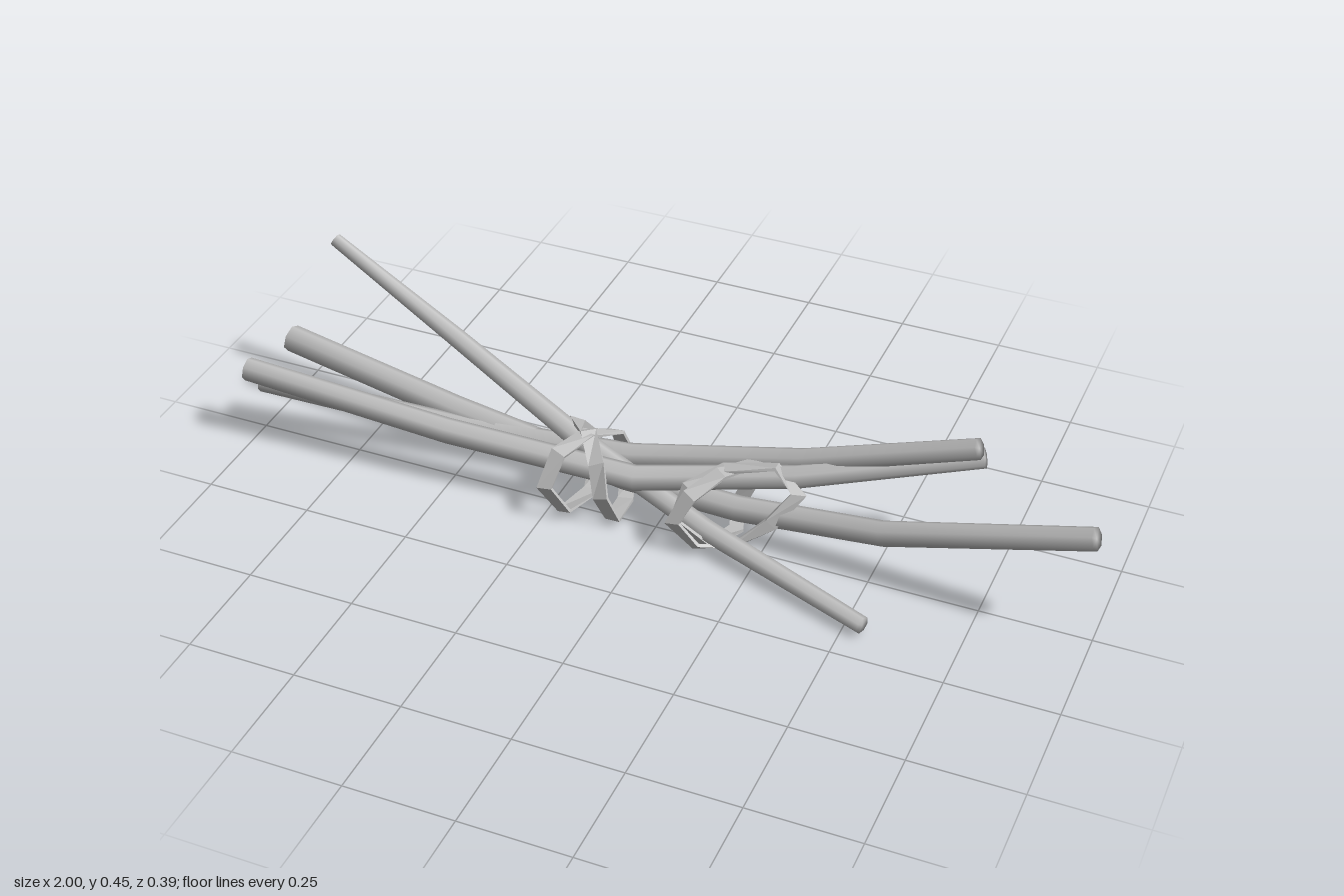
import * as THREE from 'three';

const V = (a) => new THREE.Vector3(...a);

// Skin a list of equal-length rings (counter-clockwise about the path)
function loft(rings, closed) {
  const n = rings[0].length, pos = [], idx = [];
  rings.forEach((r) => r.forEach((p) => pos.push(p.x, p.y, p.z)));
  const spans = closed ? rings.length : rings.length - 1;
  for (let i = 0; i < spans; i++) {
    const a = i * n, b = ((i + 1) % rings.length) * n;
    for (let j = 0; j < n; j++) {
      const k = (j + 1) % n;
      idx.push(a + j, a + k, b + k, a + j, b + k, b + j);
    }
  }
  if (!closed) {
    // end caps share their rim so the cut ends shade softly
    [0, rings.length - 1].forEach((i) => {
      const c = rings[i].reduce((s, p) => s.add(p), new THREE.Vector3()).divideScalar(n);
      const ci = pos.length / 3;
      pos.push(c.x, c.y, c.z);
      for (let j = 0; j < n; j++) {
        const a = i * n + j, b = i * n + (j + 1) % n;
        idx.push(ci, ...(i ? [a, b] : [b, a]));
      }
    });
  }
  const g = new THREE.BufferGeometry();
  g.setAttribute('position', new THREE.Float32BufferAttribute(pos, 3));
  g.setIndex(idx);
  return g;
}

// Tapered seven-sided stick along points [x, y, z, radius]
function stickGeometry(points, sides = 7) {
  const path = points.map((p) => V(p.slice(0, 3)));
  const rings = path.map((p, i) => {
    const t = path[Math.min(i + 1, path.length - 1)].clone().sub(path[Math.max(i - 1, 0)]).normalize();
    const u = new THREE.Vector3(0, 1, 0).addScaledVector(t, -t.y).normalize();
    const v = t.clone().cross(u);
    return Array.from({ length: sides }, (_, j) => {
      const a = (j / sides) * Math.PI * 2, r = points[i][3];
      return p.clone().addScaledVector(u, r * Math.cos(a)).addScaledVector(v, r * Math.sin(a));
    });
  });
  const g = loft(rings, false);
  g.computeVertexNormals();
  return g;
}

// Flat closed ribbon wound round a centre [y, z] of the bundle
function ribbonGeometry(points, [cy, cz], width, thick) {
  const path = points.map(V), n = path.length;
  const rings = path.map((p, i) => {
    const t = path[(i + 1) % n].clone().sub(path[(i + n - 1) % n]).normalize();
    const u = new THREE.Vector3(0, p.y - cy, p.z - cz);
    u.addScaledVector(t, -u.dot(t)).normalize();
    const v = t.clone().cross(u);
    return [[1, -1], [1, 1], [-1, 1], [-1, -1]].map(([a, b]) =>
      p.clone().addScaledVector(u, (a * thick) / 2).addScaledVector(v, (b * width) / 2));
  });
  const g = loft(rings, true).toNonIndexed();
  g.computeVertexNormals();
  return g;
}

export function createModel() {
  const model = new THREE.Group();
  model.name = 'stickBundle';
  const grey = new THREE.MeshStandardMaterial({ color: 0xc0c0c0 });
  grey.name = 'grey';
  const add = (name, geometry) => {
    const mesh = new THREE.Mesh(geometry, grey);
    mesh.name = name;
    model.add(mesh);
  };

  // Four bent sticks, each crossing the bundle
  const sticks = {
    crossingStick: [
      [-0.88, 0.45, -0.188, 0.016], [-0.55, 0.285, -0.145, 0.023], [-0.22, 0.15, -0.07, 0.027],
      [0.13, 0.062, 0.025, 0.025], [0.545, 0.04, 0.172, 0.02]],
    longStick: [
      [-0.995, 0.178, -0.14, 0.033], [-0.55, 0.115, -0.108, 0.033], [-0.1, 0.085, -0.06, 0.032],
      [0.18, 0.09, -0.042, 0.03], [0.52, 0.14, -0.02, 0.029], [0.987, 0.308, 0.034, 0.026]],
    backStick: [
      [-0.997, 0.145, 0, 0.027], [-0.5, 0.098, -0.07, 0.029], [-0.1, 0.115, -0.1, 0.03],
      [0.3, 0.205, -0.12, 0.027], [0.695, 0.363, -0.098, 0.024]],
    frontStick: [
      [-0.996, 0.213, 0.056, 0.028], [-0.5, 0.16, 0.03, 0.03], [-0.05, 0.137, 0, 0.03],
      [0.3, 0.187, -0.08, 0.027], [0.695, 0.298, -0.158, 0.023]],
  };
  for (const [name, points] of Object.entries(sticks)) add(name, stickGeometry(points));

  // Crossed binding: two turns that swap places on top
  add('crossedBinding', ribbonGeometry([
    [-0.24, 0.17, -0.11], [-0.18, 0.2, -0.04], [-0.13, 0.17, 0.03], [-0.11, 0.1, 0.055],
    [-0.09, 0.035, 0.035], [-0.1, 0.02, -0.06], [-0.12, 0.035, -0.12], [-0.13, 0.1, -0.135],
    [-0.14, 0.165, -0.11], [-0.18, 0.196, -0.04], [-0.22, 0.18, 0.035], [-0.235, 0.11, 0.08],
    [-0.2, 0.04, 0.055], [-0.18, 0.03, -0.05], [-0.2, 0.04, -0.12], [-0.225, 0.1, -0.135],
  ], [0.11, -0.04], 0.036, 0.008));

  // Loose binding: two turns, one slanting along the bundle
  add('looseBinding', ribbonGeometry([
    [0.07, 0.1, 0.075], [0.1, 0.165, 0.05], [0.15, 0.2, -0.01], [0.2, 0.19, -0.09],
    [0.18, 0.11, -0.13], [0.15, 0.04, -0.12], [0.17, 0.018, -0.06], [0.14, 0.035, 0.04],
    [0.07, 0.09, 0.06], [0.09, 0.17, 0.03], [0.15, 0.2, -0.03], [0.26, 0.215, -0.06],
    [0.32, 0.17, -0.04], [0.27, 0.1, -0.005], [0.19, 0.035, 0.025], [0.12, 0.04, 0.06],
  ], [0.11, -0.03], 0.034, 0.008));

  return model;
}
